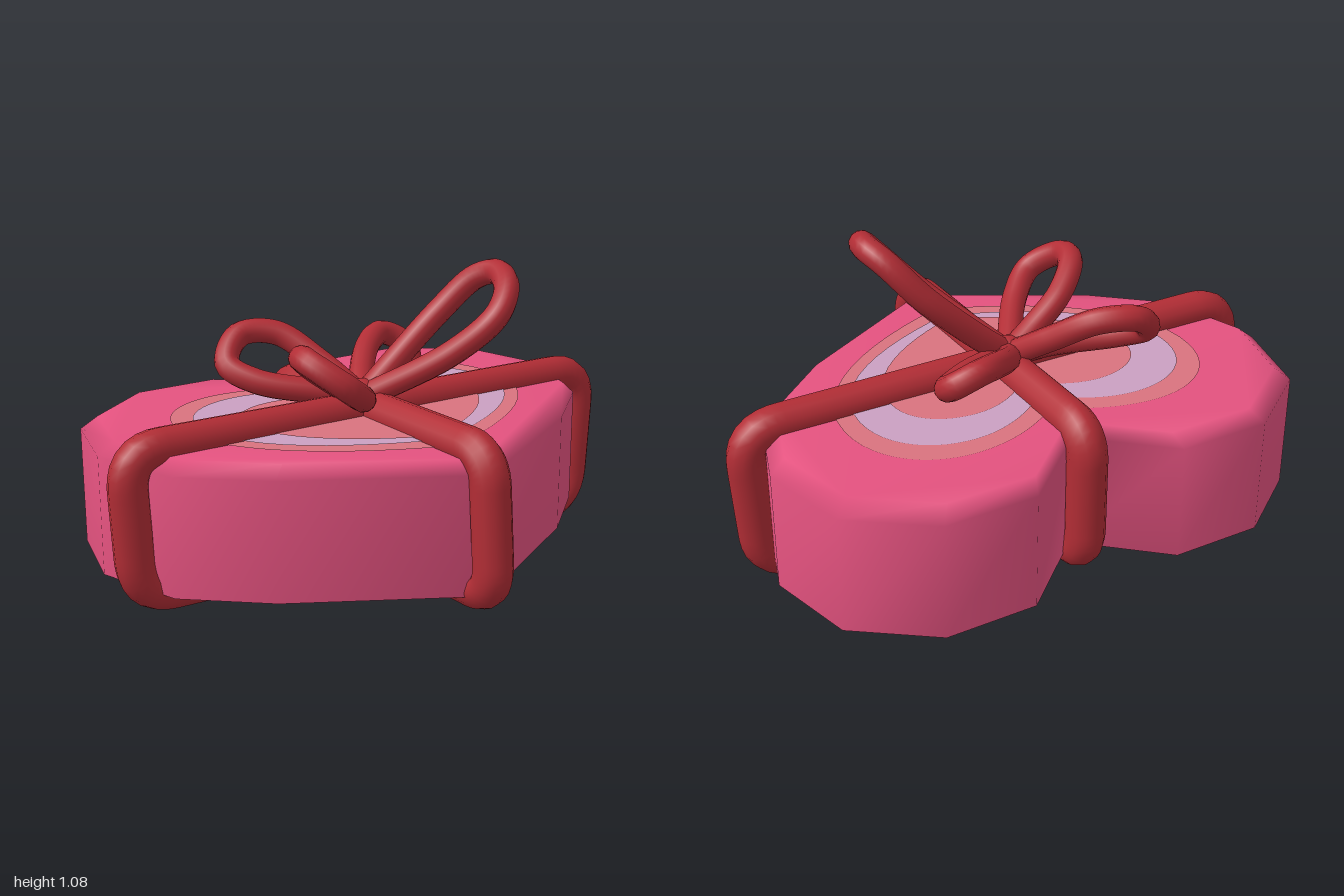
import * as THREE from 'three';

const mat = (name, color) => {
  const m = new THREE.MeshStandardMaterial({ color });
  m.name = name;
  return m;
};
const V = (p) => new THREE.Vector3(...p);

// Box body: stacked heart outlines with a chamfered top edge
function heartBox() {
  const half = [[0.58, 0.3], [0.83, 0.08], [0.93, -0.23], [0.85, -0.54], [0.59, -0.73], [0.27, -0.73]];
  const outline = [[0, 0.63], ...half, [0, -0.49], ...half.slice().reverse().map(([x, z]) => [-x, z])];
  const n = outline.length;
  const pos = [], index = [];
  const ring = (y, s) => outline.forEach(([x, z]) => pos.push(x * s, y, z * s));
  ring(0.12, 1);
  ring(0.53, 1);
  ring(0.575, 0.94);
  ring(0.12, 1); // separate underside keeps its edge sharp
  for (let r = 0; r < 2; r++) {
    for (let i = 0; i < n; i++) {
      const j = (i + 1) % n, a = r * n + i, b = r * n + j;
      index.push(a, b, b + n, a, b + n, a + n);
    }
  }
  const caps = THREE.ShapeUtils.triangulateShape(outline.map(([x, z]) => new THREE.Vector2(x, -z)), []);
  for (const [a, b, c] of caps) {
    index.push(2 * n + a, 2 * n + b, 2 * n + c);
    index.push(3 * n + a, 3 * n + c, 3 * n + b);
  }
  const g = new THREE.BufferGeometry();
  g.setAttribute('position', new THREE.Float32BufferAttribute(pos, 3));
  g.setIndex(index);
  g.computeVertexNormals();
  return g;
}

// Flat painted heart: half width, back, notch and tip given as z
function flatHeart(w, back, notch, tip, y) {
  const s = new THREE.Shape();
  const mid = back * 0.35;
  s.moveTo(0, -tip);
  s.bezierCurveTo(w * 0.5, -tip * 0.75, w, -mid - w * 0.45, w, -mid);
  s.bezierCurveTo(w, -back * 0.8, w * 0.75, -back, w * 0.52, -back);
  s.bezierCurveTo(w * 0.3, -back, w * 0.1, -notch + 0.06, 0, -notch);
  s.bezierCurveTo(-w * 0.1, -notch + 0.06, -w * 0.3, -back, -w * 0.52, -back);
  s.bezierCurveTo(-w * 0.75, -back, -w, -back * 0.8, -w, -mid);
  s.bezierCurveTo(-w, -mid - w * 0.45, -w * 0.5, -tip * 0.75, 0, -tip);
  return new THREE.ShapeGeometry(s, 12).rotateX(-Math.PI / 2).translate(0, y, 0);
}

// Cord following a closed loop with rounded corners
function wrap(corners, radius, bend) {
  const path = new THREE.CurvePath();
  const pts = corners.map(V);
  const n = pts.length;
  const toward = (a, b) => a.clone().add(b.clone().sub(a).setLength(bend));
  pts.forEach((p, i) => {
    const prev = pts[(i + n - 1) % n], next = pts[(i + 1) % n];
    path.add(new THREE.QuadraticBezierCurve3(toward(p, prev), p, toward(p, next)));
    path.add(new THREE.LineCurve3(toward(p, next), toward(next, p)));
  });
  return new THREE.TubeGeometry(path, 160, radius, 12, true);
}

export function createModel() {
  const model = new THREE.Group();
  model.name = 'heartGiftBox';
  const pink = mat('pink', 0xe4527f);
  const salmon = mat('salmon', 0xd9737f);
  const lavender = mat('lavender', 0xcaa0c2);
  const red = mat('ribbonRed', 0xb22d35);
  const add = (name, geometry, material) => {
    const m = new THREE.Mesh(geometry, material);
    m.name = name;
    model.add(m);
  };

  add('box', heartBox(), pink);

  // Nested hearts painted on the lid
  add('outerHeart', flatHeart(0.65, -0.49, -0.36, 0.45, 0.578), salmon);
  add('middleHeart', flatHeart(0.585, -0.42, -0.28, 0.385, 0.581), lavender);
  add('innerHeart', flatHeart(0.45, -0.29, -0.17, 0.35, 0.584), salmon);

  // Ribbon wrapped both ways around the box
  add('sideRibbon', wrap([
    [-0.925, 0.592, -0.04], [-0.905, 0.105, -0.035], [0.905, 0.066, -0.02], [0.938, 0.58, -0.022],
  ], 0.065, 0.13), red);
  add('frontRibbon', wrap([
    [0, 0.595, 0.622], [0, 0.13, 0.662], [-0.012, 0.108, -0.568], [-0.012, 0.58, -0.565],
  ], 0.067, 0.11), red);

  // Four bow loops springing from the knot
  const knot = [-0.02, 0.62, -0.05];
  const loops = {
    frontLeftLoop: [[0.1, 0.72, -0.05], [0.28, 0.89, -0.02], [0.38, 1.01, 0.05], [0.41, 1.04, 0.13],
      [0.375, 1.01, 0.23], [0.3, 0.93, 0.275], [0.18, 0.8, 0.19]],
    frontRightLoop: [[-0.12, 0.68, -0.03], [-0.25, 0.77, 0], [-0.35, 0.84, 0.09], [-0.36, 0.835, 0.17],
      [-0.28, 0.765, 0.25], [-0.18, 0.7, 0.18]],
    backRightLoop: [[-0.1, 0.73, -0.2], [-0.2, 0.82, -0.32], [-0.32, 0.82, -0.365], [-0.4, 0.74, -0.31],
      [-0.34, 0.69, -0.22], [-0.15, 0.65, -0.1]],
    backLeftLoop: [[0.05, 0.67, -0.16], [0.15, 0.73, -0.27], [0.25, 0.755, -0.33], [0.325, 0.72, -0.31],
      [0.315, 0.675, -0.24], [0.18, 0.65, -0.14]],
  };
  for (const [name, pts] of Object.entries(loops)) {
    const curve = new THREE.CatmullRomCurve3([knot, ...pts, knot].map(V));
    add(name, new THREE.TubeGeometry(curve, 64, 0.044, 12), red);
  }
  add('knot', new THREE.SphereGeometry(0.058, 16, 12).translate(-0.02, 0.63, -0.05), red);

  return model;
}
